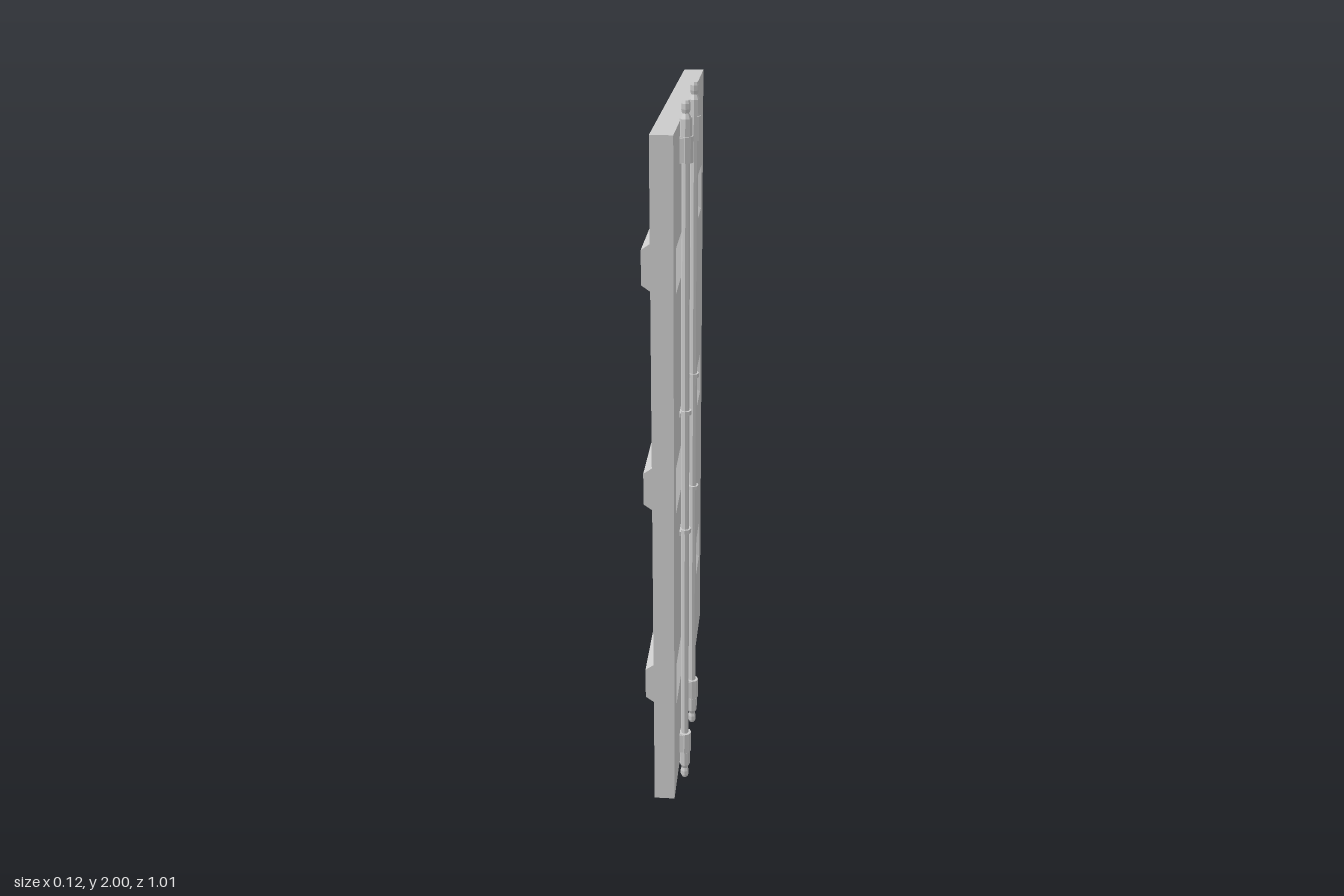
import * as THREE from 'three';

const mat = new THREE.MeshStandardMaterial({ color: 0xcccccc, flatShading: true });

function add(parent, name, geometry, x = 0, y = 0, z = 0) {
  const mesh = new THREE.Mesh(geometry, mat);
  mesh.name = name;
  mesh.position.set(x, y, z);
  parent.add(mesh);
  return mesh;
}

// Door panel: outer (+x) and inner (-x) faces, extents and pressed ribs
const OUT = 0.025, IN = -0.032, BOTTOM = 0.06, TOP = 1.95;
const HALF = 0.507, RIB_HALF = 0.44, DEPTH = 0.03;
const ribs = [0.4, 1.005, 1.61];

// One rib step seen from the end: wide at the panel face, narrower at the floor
const ribSteps = (face, y) => [
  [face, y - 0.066], [face - DEPTH, y - 0.045], [face - DEPTH, y + 0.045], [face, y + 0.066],
];

function buildPanel() {
  const panel = new THREE.Group();
  panel.name = 'doorPanel';

  // Middle of the panel, recessed outside and raised inside
  const outer = ribs.flatMap((y) => ribSteps(OUT, y));
  const inner = ribs.flatMap((y) => ribSteps(IN, y)).reverse();
  const outline = [[OUT, BOTTOM], ...outer, [OUT, TOP], [IN, TOP], ...inner, [IN, BOTTOM]];
  const shape = new THREE.Shape(outline.map(([x, y]) => new THREE.Vector2(x, y)));
  const middle = new THREE.ExtrudeGeometry(shape, { depth: RIB_HALF * 2, bevelEnabled: false });
  add(panel, 'ribbedPanel', middle, 0, 0, -RIB_HALF);

  // Plain strips closing both ends of the ribs
  const w = HALF - RIB_HALF;
  for (const side of [-1, 1]) {
    add(panel, 'panelEdge', new THREE.BoxGeometry(OUT - IN, TOP - BOTTOM, w),
      (OUT + IN) / 2, (TOP + BOTTOM) / 2, side * (RIB_HALF + w / 2));
  }
  return panel;
}

function buildLockRod(z) {
  const rod = new THREE.Group();
  rod.name = 'lockRod';
  rod.position.set(0.039, 0, z);

  // Long bar with a stepped, tapered cam at each end
  const half = [[0, 0], [0.009, 0], [0.012, 0.008], [0.012, 0.022], [0.009, 0.032], [0.015, 0.045], [0.016, 0.09], [0.011, 0.09]];
  const profile = [...half, ...half.map(([r, y]) => [r, 2 - y]).reverse()];
  add(rod, 'bar', new THREE.LatheGeometry(profile.map(([r, y]) => new THREE.Vector2(r, y)), 8));

  // End bearings fixed to the panel
  for (const y of [0.125, 1.88]) {
    add(rod, 'bearing', new THREE.CylinderGeometry(0.019, 0.019, 0.065, 8), 0, y, 0);
    add(rod, 'bearingFoot', new THREE.BoxGeometry(0.014, 0.06, 0.036), -0.009, y, 0);
  }

  // Thin guide rings with flat feet
  for (const y of [0.827, 1.18]) {
    add(rod, 'guideRing', new THREE.CylinderGeometry(0.017, 0.017, 0.012, 8), 0, y, 0);
    add(rod, 'guideFoot', new THREE.BoxGeometry(0.005, 0.012, 0.052), -0.0125, y, 0);
  }
  return rod;
}

export function createModel() {
  const model = new THREE.Group();
  model.name = 'containerDoor';
  model.add(buildPanel());
  for (const z of [0.04, 0.32]) model.add(buildLockRod(z));
  return model;
}
